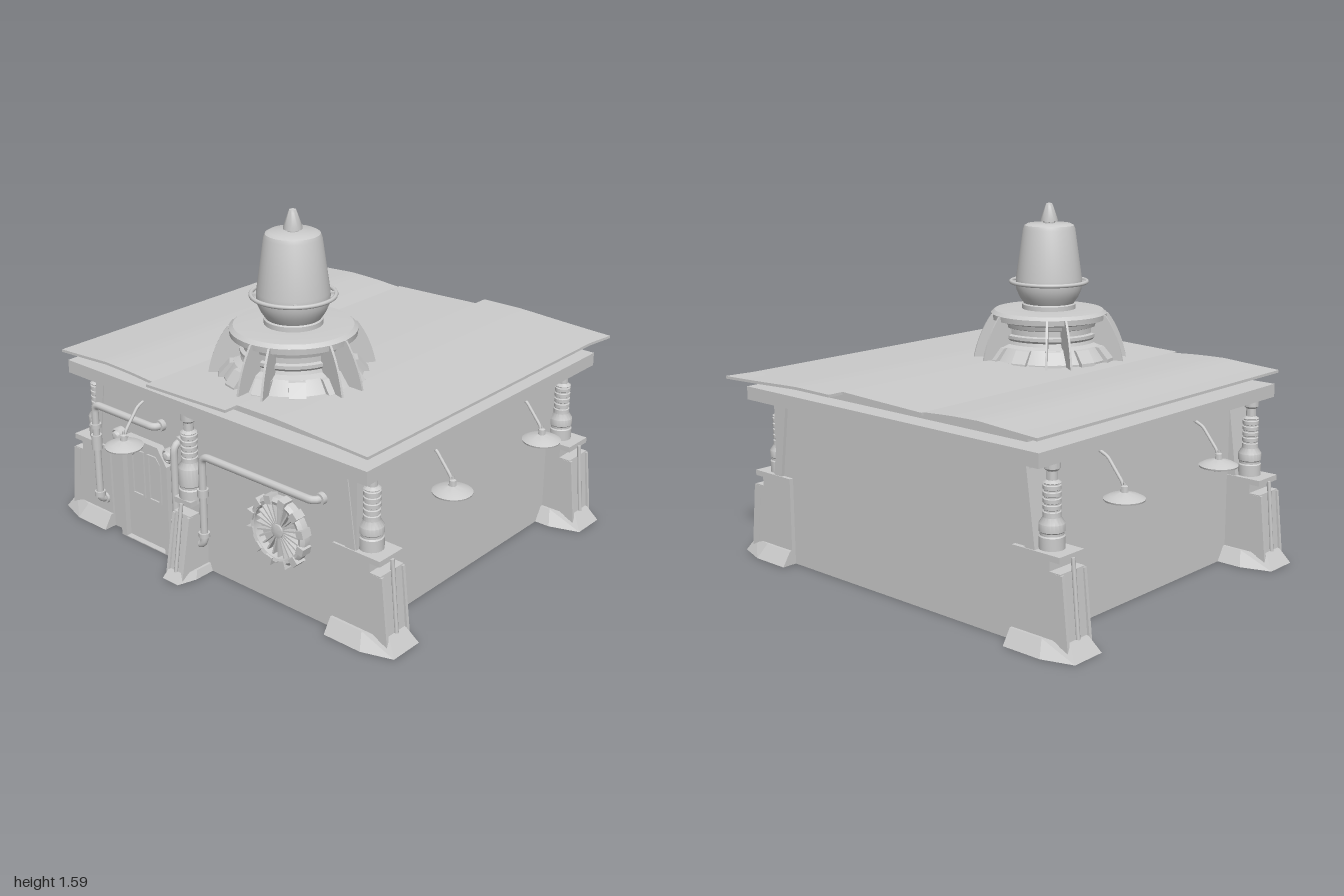
import * as THREE from 'three';
import { toCreasedNormals } from 'three/addons/utils/BufferGeometryUtils.js';

const grey = new THREE.MeshStandardMaterial({ color: 0xcccccc, side: THREE.DoubleSide });
const V2 = (p) => new THREE.Vector2(p[0], p[1]);
const V3 = (p) => new THREE.Vector3(...p);

function add(parent, name, geo, x = 0, y = 0, z = 0) {
  const m = new THREE.Mesh(geo, grey);
  m.name = name;
  m.position.set(x, y, z);
  parent.add(m);
  return m;
}
function group(parent, name, x = 0, y = 0, z = 0, ry = 0) {
  const g = new THREE.Group();
  g.name = name;
  g.position.set(x, y, z);
  g.rotation.y = ry;
  parent.add(g);
  return g;
}
// box given by its limits
function span(parent, name, x0, x1, y0, y1, z0, z1) {
  return add(parent, name, new THREE.BoxGeometry(x1 - x0, y1 - y0, z1 - z0), (x0 + x1) / 2, (y0 + y1) / 2, (z0 + z1) / 2);
}
const lathe = (pts, n = 32) => toCreasedNormals(new THREE.LatheGeometry(pts.map(V2), n), 0.6);
// extrude a side outline (x, y), centred on z
function slab(pts, depth, holes = []) {
  const s = new THREE.Shape(pts.map(V2));
  holes.forEach((h) => s.holes.push(new THREE.Path(h.map(V2))));
  return new THREE.ExtrudeGeometry(s, { depth, bevelEnabled: false }).translate(0, 0, -depth / 2);
}
// pipe along straight runs with rounded corners
function pipe(parent, name, pts, r, bend) {
  const p = pts.map(V3), path = new THREE.CurvePath();
  let from = p[0];
  for (let i = 1; i < p.length; i++) {
    if (i === p.length - 1) { path.add(new THREE.LineCurve3(from, p[i])); break; }
    const a = p[i].clone().add(p[i - 1].clone().sub(p[i]).setLength(bend));
    const b = p[i].clone().add(p[i + 1].clone().sub(p[i]).setLength(bend));
    path.add(new THREE.LineCurve3(from, a));
    path.add(new THREE.QuadraticBezierCurve3(a, p[i], b));
    from = b;
  }
  return add(parent, name, new THREE.TubeGeometry(path, 120, r, 10));
}

// ribbed post from y0 up to the roof beam
function column(parent, x, z, y0) {
  const pts = [[0, y0], [0.052, y0], [0.052, y0 + 0.06], [0.047, y0 + 0.065], [0.047, y0 + 0.075], [0.052, y0 + 0.08], [0.052, 0.5], [0.036, 0.525]];
  for (let i = 0; i < 5; i++) {
    const y = 0.53 + i * 0.026;
    pts.push([0.036, y], [0.036, y + 0.015], [0.031, y + 0.018], [0.031, y + 0.023]);
  }
  pts.push([0.036, 0.66], [0.022, 0.67], [0.022, 0.705], [0.032, 0.715], [0.032, 0.745]);
  add(parent, 'column', lathe(pts, 20), x, 0, z);
}

// sloping buttress with spreading foot, outward along local +x
function buttress(parent, { inner, outLow, outHigh, w, h, footOut, footW, footH }) {
  const notch = outHigh - 0.05;
  add(parent, 'buttressBody', slab([[inner, 0], [outLow, 0], [outHigh + 0.004, h - 0.065], [notch, h - 0.065],
    [notch, h - 0.025], [outHigh, h - 0.025], [outHigh, h], [inner, h]], w));
  const rod = add(parent, 'buttressRod', new THREE.CylinderGeometry(0.009, 0.009, h - 0.03, 8),
    (outLow + outHigh) / 2 + 0.004, h / 2, 0);
  rod.rotation.z = Math.atan2(outLow - outHigh, h);
  for (const s of [-1, 1]) {
    const e = w / 2 - 0.006;
    add(parent, 'buttressEdge', slab([[outLow - 0.03, 0], [outLow + 0.012, 0], [outHigh + 0.012, h - 0.07], [outHigh - 0.03, h - 0.07]], 0.014), 0, 0, s * e);
  }
  const c = inner + (footOut - inner) * 0.58;
  const foot = slab([[inner, -footW], [c, -footW], [footOut, -footW * 0.64], [footOut, footW * 0.64], [c, footW], [inner, footW]], footH);
  foot.rotateX(-Math.PI / 2).translate(0, footH / 2, 0);
  const pos = foot.attributes.position, k = (outLow + 0.006 - inner) / (footOut - inner);
  for (let i = 0; i < pos.count; i++) {
    if (pos.getY(i) > footH / 2) {
      pos.setX(i, inner + (pos.getX(i) - inner) * k);
      pos.setZ(i, pos.getZ(i) * Math.min(1, (w / 2 + 0.012) / footW));
    }
  }
  foot.computeVertexNormals();
  add(parent, 'foot', foot);
}

// hanging lamp, arm reaching along local +x
function lamp(parent, x, z, ry) {
  const g = group(parent, 'lamp', x, 0, z, ry);
  pipe(g, 'lampArm', [[-0.13, 0.71, 0], [-0.085, 0.69, 0], [-0.012, 0.6, 0], [0, 0.56, 0]], 0.007, 0.015);
  add(g, 'lampShade', lathe([[0, 0.515], [0.035, 0.515], [0.04, 0.526], [0.083, 0.53], [0.085, 0.537], [0.06, 0.55],
    [0.03, 0.558], [0.016, 0.562], [0.014, 0.585], [0.006, 0.59], [0.006, 0.6]], 24));
}

export function createModel() {
  const root = new THREE.Group();
  root.name = 'building';

  // walls and roof beams
  span(root, 'walls', -0.745, 0.775, 0, 0.75, -0.775, 0.71);
  span(root, 'roofBeam', -0.85, 0.88, 0.74, 0.8, -0.84, 0.78);
  span(root, 'roofTier', -0.71, 0.77, 0.8, 0.846, -0.745, 0.69);

  // rippled roof sheets with staggered ends
  const ripple = [[-0.85, 0.853], [-0.7, 0.861], [-0.55, 0.87], [-0.4, 0.866], [-0.26, 0.857], [0, 0.865], [0.2, 0.872], [0.42, 0.874], [0.65, 0.863], [0.9, 0.853]];
  const rippleY = (x) => {
    let i = 0;
    while (i < ripple.length - 2 && x > ripple[i + 1][0]) i++;
    const [a, b] = [ripple[i], ripple[i + 1]];
    return a[1] + (b[1] - a[1]) * (x - a[0]) / (b[0] - a[0]);
  };
  for (const [x0, x1, z0, z1] of [[-0.85, -0.26, -0.85, 0.81], [-0.26, 0.205, -0.863, 0.845], [0.205, 0.88, -0.938, 0.778]]) {
    const geo = new THREE.BoxGeometry(x1 - x0, 0.012, z1 - z0, 10, 1, 12).translate((x0 + x1) / 2, 0, (z0 + z1) / 2);
    const p = geo.attributes.position;
    for (let i = 0; i < p.count; i++) {
      p.setY(i, p.getY(i) + rippleY(p.getX(i)));
      if (p.getX(i) > 0.87 && p.getZ(i) < -0.85) p.setX(i, 0.9);
    }
    geo.computeVertexNormals();
    add(root, 'roofSheet', toCreasedNormals(geo, 0.5));
  }

  // corner buttresses, columns and leaning corner posts
  for (const side of [-1, 1]) {
    for (const z of [0.648, -0.722]) {
      const g = group(root, 'cornerSupport', side > 0 ? -0.015 : 0, 0, z, side > 0 ? 0 : Math.PI);
      buttress(g, { inner: 0.675, outLow: 0.95, outHigh: 0.915, w: 0.145, h: 0.4, footOut: 1, footW: 0.125, footH: 0.065 });
      column(g, 0.815, 0, 0.39);
      add(g, 'cornerPost', slab([[0.74, 0.38], [0.79, 0.38], [0.74, 0.745], [0.69, 0.745]], 0.135));
    }
    for (const z of [0.27, -0.385]) lamp(root, side * 0.905 + 0.005, z, side > 0 ? 0 : Math.PI);
  }
  lamp(root, -0.415, 0.85, -Math.PI / 2);

  // front middle support
  const mid = group(root, 'frontSupport', -0.11, 0, 0, -Math.PI / 2);
  buttress(mid, { inner: 0.69, outLow: 0.86, outHigh: 0.805, w: 0.1, h: 0.36, footOut: 0.895, footW: 0.073, footH: 0.035 });
  column(mid, 0.752, 0, 0.34);

  // door with chamfered frame, leaves and windows
  const door = group(root, 'door', -0.427, 0, 0.71);
  const arch = (w, h, y0, c) => [[-w, y0], [w, y0], [w, h - c * 1.4], [w - c, h], [c - w, h], [-w, h - c * 1.4]];
  add(door, 'doorFrame', slab(arch(0.16, 0.515, 0, 0.055), 0.05, [arch(0.128, 0.485, 0.004, 0.045)]), 0, 0, 0.012);
  add(door, 'doorPanel', slab(arch(0.13, 0.487, 0, 0.045), 0.02));
  for (const s of [-1, 1]) {
    add(door, 'doorWindow', slab([[0.012, 0.225], [0.095, 0.225], [0.095, 0.42], [0.07, 0.45], [0.012, 0.45]], 0.02,
      [[[0.022, 0.235], [0.085, 0.235], [0.085, 0.415], [0.066, 0.44], [0.022, 0.44]]]), 0, 0, 0.008).scale.x = s;
    const light = add(door, 'doorLight', lathe([[0.035, -0.01], [0.035, 0.03], [0.027, 0.036], [0.024, 0.03], [0.016, 0.045], [0, 0.05]], 20), s * 0.165, 0.493, 0);
    light.rotation.x = Math.PI / 2;
  }

  // wall pipes with end flanges and joints
  const pz = 0.755;
  pipe(root, 'doorPipe', [[-0.32, 0.615, 0.7], [-0.32, 0.615, pz], [-0.717, 0.615, pz], [-0.717, 0.135, pz], [-0.717, 0.135, 0.7]], 0.017, 0.035);
  pipe(root, 'ventPipe', [[0.6, 0.572, 0.7], [0.6, 0.572, pz], [-0.034, 0.572, pz], [-0.034, 0.145, pz], [-0.205, 0.145, pz], [-0.205, 0.572, pz], [-0.205, 0.572, 0.7]], 0.017, 0.04);
  for (const [x, y] of [[-0.32, 0.615], [-0.717, 0.135], [0.6, 0.572], [-0.205, 0.572]]) {
    add(root, 'pipeFlange', new THREE.CylinderGeometry(0.026, 0.026, 0.025, 14), x, y, 0.72).rotation.x = Math.PI / 2;
  }
  for (const [x, y, h] of [[-0.717, 0.43, 0.07], [-0.717, 0.51, 0.02], [-0.717, 0.17, 0.025], [-0.034, 0.4, 0.035], [-0.034, 0.2, 0.02], [-0.205, 0.2, 0.02]]) {
    add(root, 'pipeJoint', new THREE.CylinderGeometry(0.025, 0.025, h, 14), x, y, pz);
  }

  // round vent with clamps and radial blades
  const vent = group(root, 'vent', 0.382, 0.358, 0.71);
  const ring = lathe([[0.122, 0], [0.15, 0], [0.15, 0.03], [0.137, 0.045], [0.122, 0.04], [0.122, 0]], 36).rotateX(Math.PI / 2);
  add(vent, 'ventRing', ring);
  const spoke = (name, a, r, size, z) => {
    add(vent, name, new THREE.BoxGeometry(...size), r * Math.cos(a), r * Math.sin(a), z).rotation.z = a;
  };
  for (let i = 0; i < 12; i++) spoke('ventClamp', (i + 0.5) * Math.PI / 6, 0.142, [0.036, 0.035, 0.052], 0.025);
  for (let i = 0; i < 24; i++) spoke('ventBlade', i * Math.PI / 12, 0.075, [0.1, 0.007, 0.025], 0.015);
  add(vent, 'ventHub', lathe([[0.03, 0], [0.03, 0.035], [0, 0.042]], 20).rotateX(Math.PI / 2));

  // roof tower
  const tower = group(root, 'tower', 0.125, 0, 0.35);
  add(tower, 'towerBase', lathe([[0.3, 0.85], [0.3, 0.875], [0.262, 0.925], [0.255, 0.935], [0.225, 0.945], [0.22, 0.96], [0.228, 0.97],
    [0.228, 0.985], [0.212, 0.99], [0.212, 1.015], [0.228, 1.02], [0.235, 1.04], [0.27, 1.05], [0.272, 1.075], [0.255, 1.09],
    [0.2, 1.094], [0.125, 1.094]], 48));
  for (let i = 0; i < 24; i++) {
    const plate = group(tower, 'skirtPlate', 0, 0, 0, i * Math.PI / 12);
    if (i % 2) add(plate, 'skirtPlateFace', slab([[0.25, 0.86], [0.32, 0.86], [0.318, 0.88], [0.272, 0.932], [0.25, 0.935]], 0.07));
  }
  add(tower, 'towerBody', lathe([[0.125, 1.09], [0.125, 1.115], [0.118, 1.12], [0.138, 1.15], [0.153, 1.185], [0.156, 1.215], [0.155, 1.235],
    [0.122, 1.465], [0.115, 1.482], [0.1, 1.49], [0, 1.492]], 40));
  add(tower, 'towerRing', new THREE.TorusGeometry(0.178, 0.009, 10, 48), 0, 1.22, 0).rotation.x = Math.PI / 2;
  for (let i = 0; i < 4; i++) {
    const g = group(tower, 'ringBracket', 0, 0, 0, Math.PI / 4 + i * Math.PI / 2);
    span(g, 'bracketBar', 0.14, 0.178, 1.214, 1.226, -0.006, 0.006);
  }
  add(tower, 'towerSpike', lathe([[0.026, 1.485], [0.026, 1.497], [0.04, 1.5], [0.04, 1.51], [0.019, 1.57], [0.014, 1.582], [0, 1.586]], 20));

  // paired curved fins around the tower base
  const fin = new THREE.Shape();
  fin.moveTo(0.22, 0.86);
  fin.lineTo(0.366, 0.86);
  fin.quadraticCurveTo(0.345, 0.985, 0.278, 1.075);
  fin.lineTo(0.25, 1.075);
  fin.lineTo(0.21, 1.03);
  const finGeo = new THREE.ExtrudeGeometry(fin, { depth: 0.01, bevelEnabled: false, curveSegments: 8 }).translate(0, 0, -0.005);
  for (let i = 0; i < 5; i++) {
    for (const s of [-9, 9]) add(tower, 'fin', finGeo).rotation.y = -THREE.MathUtils.degToRad(6 + i * 72 + s);
  }
  return root;
}
